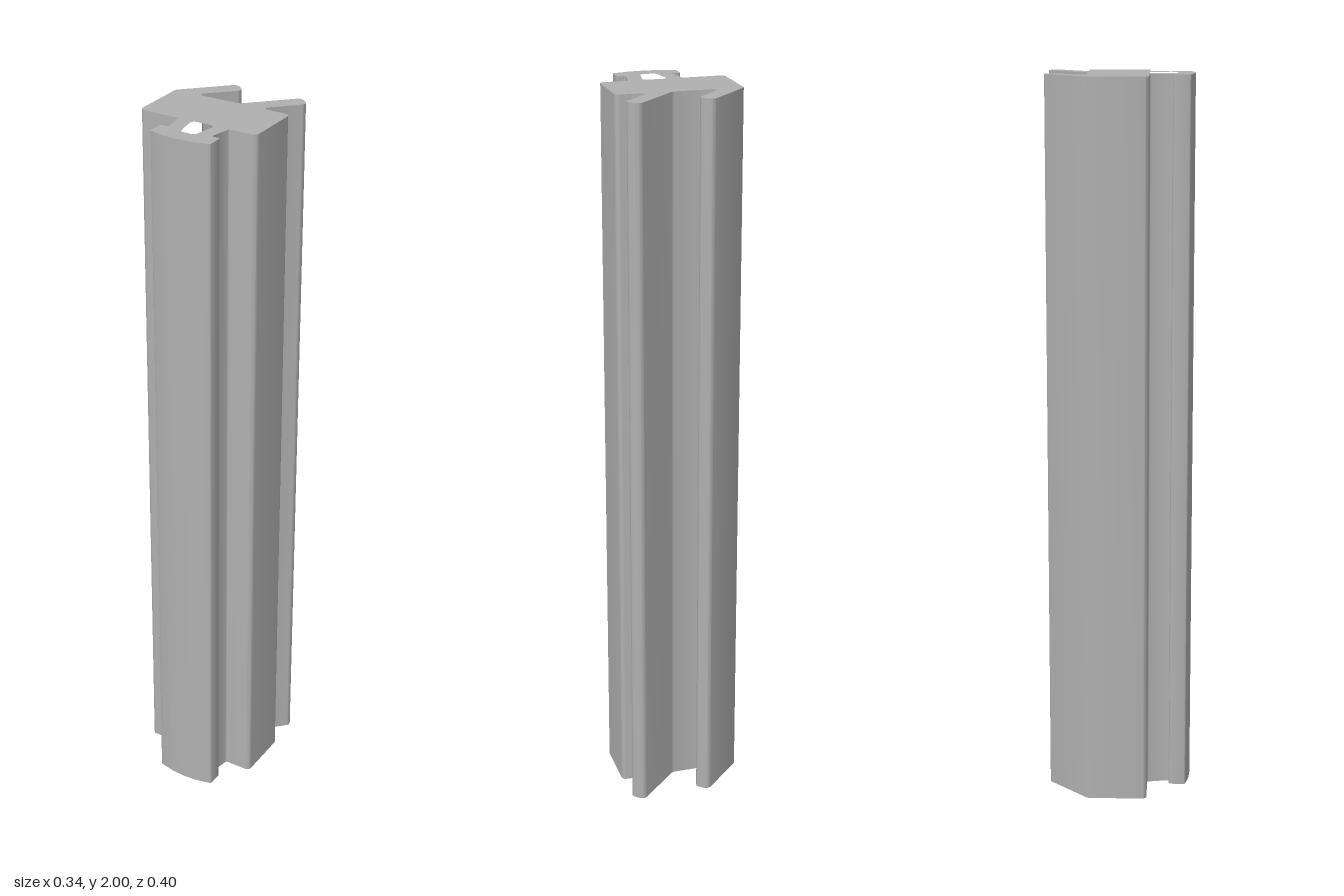
import * as THREE from 'three';
import { toCreasedNormals } from 'three/addons/utils/BufferGeometryUtils.js';

const HEIGHT = 2;

// Closed outline from corners [x, z, radius], each corner rounded by an arc.
// Plan z is stored as -y so the extrusion can be stood upright.
function roundedOutline(corners, target) {
  const pts = [];
  const n = corners.length;
  corners.forEach(([x, z, r], i) => {
    const p = new THREE.Vector2(x, -z);
    const [ax, az] = corners[(i + n - 1) % n];
    const [bx, bz] = corners[(i + 1) % n];
    const a = new THREE.Vector2(ax, -az).sub(p).normalize();
    const b = new THREE.Vector2(bx, -bz).sub(p).normalize();
    const half = Math.acos(THREE.MathUtils.clamp(a.dot(b), -1, 1)) / 2;
    const centre = a.clone().add(b).normalize().multiplyScalar(r / Math.sin(half)).add(p);
    const t = r / Math.tan(half);
    const start = a.multiplyScalar(t).add(p).sub(centre);
    const end = b.multiplyScalar(t).add(p).sub(centre);
    const sweep = Math.atan2(start.cross(end), start.dot(end));
    const steps = Math.max(4, Math.ceil(Math.abs(sweep) / 0.2));
    for (let k = 0; k <= steps; k++) {
      pts.push(start.clone().rotateAround(new THREE.Vector2(), (sweep * k) / steps).add(centre));
    }
  });
  return target.setFromPoints(pts);
}

// Slanted fin with a rounded tip, ending in a fillet on the body's back face
const fin = (dx, rootX, rootZ, rootR) => [
  [rootX, rootZ, rootR],
  [-0.053 + dx, -0.207, 0.017],
  [-0.021 + dx, -0.176, 0.014],
  [-0.108 + dx, -0.089, 0.0095],
];

export function createModel() {
  const group = new THREE.Group();
  group.name = 'sealStrip';
  const rubber = new THREE.MeshStandardMaterial({ color: 0xb0b0b0 });
  rubber.name = 'grey rubber';

  const section = roundedOutline([
    // Two fins behind the body
    ...fin(0, -0.171, -0.089, 0.014),
    ...fin(0.191, 0.02, -0.089, 0.02),
    // Right side of the body, stem and foot
    [0.17, -0.088, 0.014],
    [0.17, 0.077, 0.014],
    [0.092, 0.077, 0.006],
    [0.08, 0.14, 0.006],
    [0.105, 0.139, 0.006],
    [0.105, 0.185, 0.005],
    // Bowed front of the foot
    [0.018, 0.211, 0.275],
    // Left side of the foot, stem and body
    [-0.069, 0.185, 0.005],
    [-0.069, 0.139, 0.006],
    [-0.044, 0.14, 0.006],
    [-0.056, 0.077, 0.006],
    [-0.171, 0.077, 0.014],
  ], new THREE.Shape());

  // Hollow between the two stem walls
  section.holes.push(roundedOutline([
    [-0.016, 0.077, 0.012],
    [0.053, 0.077, 0.012],
    [0.039, 0.152, 0.013],
    [-0.003, 0.152, 0.013],
  ], new THREE.Path()));

  const extrusion = new THREE.ExtrudeGeometry(section, { depth: HEIGHT, bevelEnabled: false });
  extrusion.rotateX(-Math.PI / 2);
  const strip = new THREE.Mesh(toCreasedNormals(extrusion, 0.5), rubber);
  strip.name = 'extrudedStrip';
  group.add(strip);
  return group;
}
